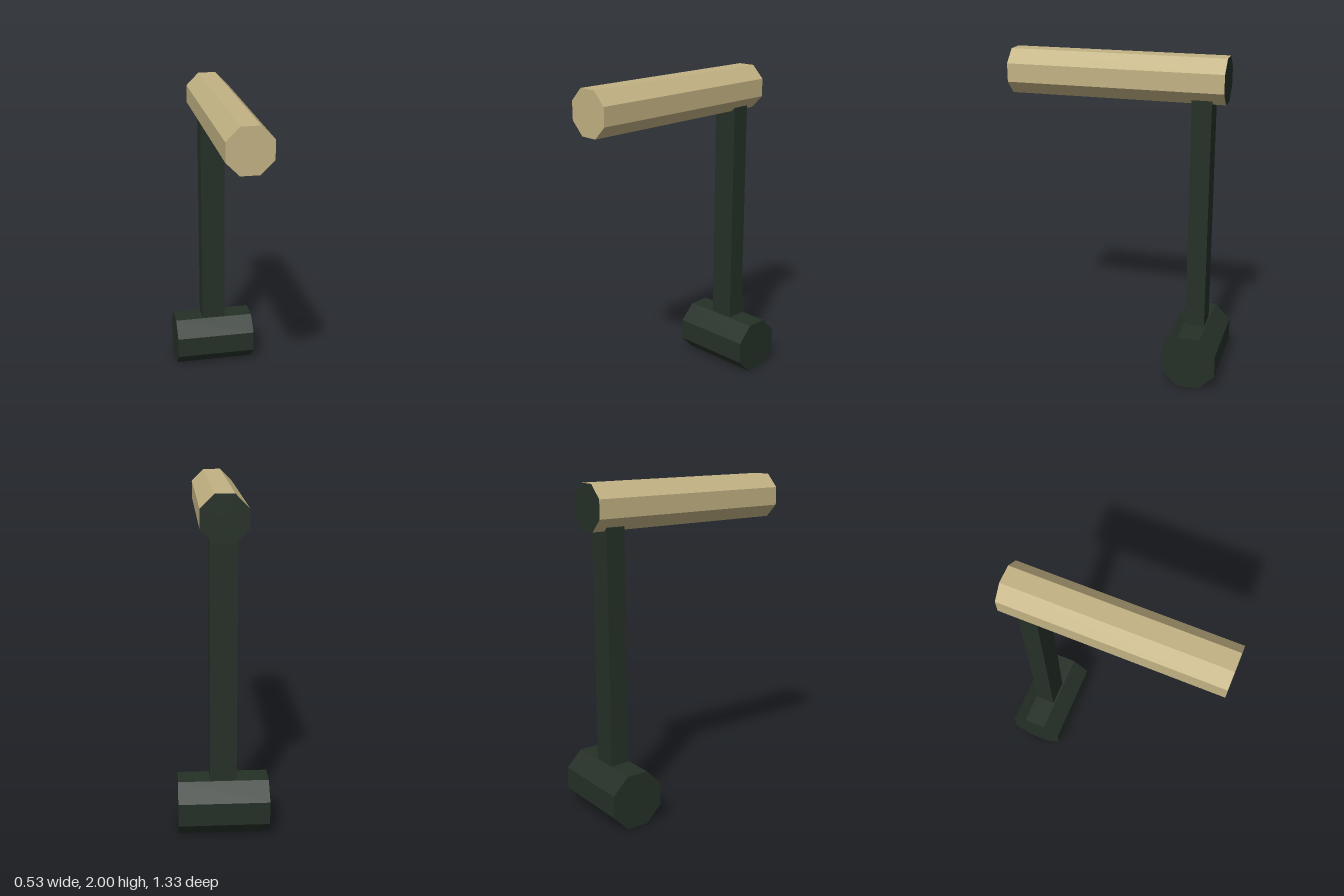
import * as THREE from 'three';

// Octagonal prism along y, turned so that flats face the axes
function octagon(apothem, length) {
  const r = apothem / Math.cos(Math.PI / 8);
  return new THREE.CylinderGeometry(r, r, length, 8, 1, false, Math.PI / 8);
}

export function createModel() {
  const sand = new THREE.MeshStandardMaterial({ name: 'sand', color: 0xc2b283, flatShading: true });
  const darkGreen = new THREE.MeshStandardMaterial({ name: 'dark green', color: 0x253027, flatShading: true });

  const model = new THREE.Group();
  model.name = 'postWithBeam';
  const add = (name, geometry, material, x, y, z) => {
    const mesh = new THREE.Mesh(geometry, material);
    mesh.name = name;
    mesh.position.set(x, y, z);
    model.add(mesh);
  };

  // Octagonal foot lying across the model
  add('foot', octagon(0.166, 0.53).rotateZ(Math.PI / 2), darkGreen, 0, 0.166, -0.5);

  // Upright post from the foot into the underside of the beam
  add('post', new THREE.BoxGeometry(0.155, 1.56, 0.118), darkGreen, 0, 0.98, -0.5);

  // Long beam: sand sides and front end, dark back end
  add('beam', octagon(0.1325, 1.302).rotateX(Math.PI / 2), [sand, sand, darkGreen], 0, 1.8675, 0.015);

  return model;
}
